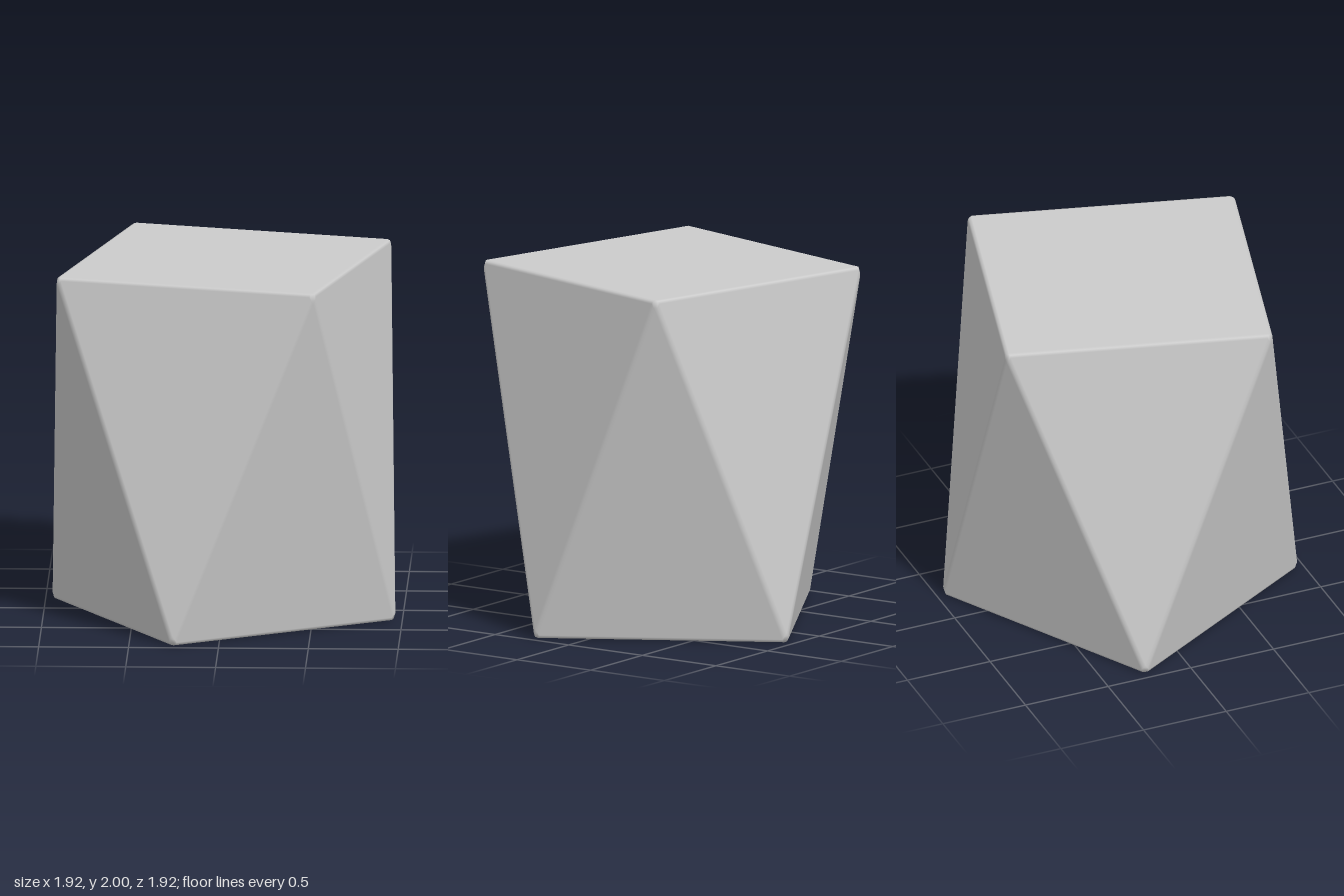
import * as THREE from 'three';
import { ConvexGeometry } from 'three/addons/geometries/ConvexGeometry.js';

const BEVEL = 0.02;
const CENTER = new THREE.Vector3(0, 1, 0);

// Four corners of a horizontal square, starting at the given angle
function square(radius, y, degrees) {
  return [0, 1, 2, 3].map((i) => {
    const a = THREE.MathUtils.degToRad(degrees + i * 90);
    return new THREE.Vector3(radius * Math.cos(a), y, radius * Math.sin(a));
  });
}

// Softened edges: each face shrinks by the bevel width and a curved strip joins neighbours
function bevelledHull(corners, faces) {
  const points = [], normals = [], joints = new Map();

  for (const face of faces) {
    const p = face.map((i) => corners[i]);
    const n = new THREE.Vector3().crossVectors(p[1].clone().sub(p[0]), p[2].clone().sub(p[0])).normalize();
    if (n.dot(p[0].clone().sub(CENTER)) < 0) n.negate();

    face.forEach((id, k) => {
      const ids = [face[(k + 1) % face.length], face[(k + face.length - 1) % face.length]];
      const dirs = ids.map((j) => corners[j].clone().sub(corners[id]).normalize());
      const inset = dirs[0].clone().add(dirs[1])
        .multiplyScalar(BEVEL / Math.sin(dirs[0].angleTo(dirs[1]))).add(corners[id]);
      points.push(inset);
      normals.push(n);
      // Remember this corner for both edges that leave it
      ids.forEach((j, s) => {
        const key = id + '>' + j;
        const along = inset.clone().sub(corners[id]).dot(dirs[s]);
        const onEdge = corners[id].clone().addScaledVector(dirs[s], along);
        if (!joints.has(key)) joints.set(key, []);
        joints.get(key).push({ inset, onEdge, n });
      });
    });
  }

  // Middle of the curved strip along each edge
  for (const [a, b] of joints.values()) {
    const mid = a.inset.clone().add(b.inset).add(a.onEdge).add(b.onEdge).multiplyScalar(0.25);
    points.push(mid);
    normals.push(a.n.clone().add(b.n).normalize());
  }

  // Smooth normals taken from the matching source point
  const geometry = new ConvexGeometry(points);
  const pos = geometry.attributes.position, v = new THREE.Vector3();
  for (let i = 0; i < pos.count; i++) {
    v.fromBufferAttribute(pos, i);
    let best = 0;
    points.forEach((q, j) => {
      if (q.distanceToSquared(v) < points[best].distanceToSquared(v)) best = j;
    });
    geometry.attributes.normal.setXYZ(i, normals[best].x, normals[best].y, normals[best].z);
  }
  return geometry;
}

export function createModel() {
  const group = new THREE.Group();
  group.name = 'twistedBlock';

  // Bottom square, and a slightly larger top square turned by 45 degrees
  const corners = [...square(1.0, 0, 15), ...square(1.06, 2, 60)];
  const faces = [[0, 1, 2, 3], [4, 5, 6, 7]];
  // Alternating upright and inverted triangles around the sides
  for (let i = 0; i < 4; i++) {
    const j = (i + 1) % 4;
    faces.push([i, j, 4 + i], [4 + i, 4 + j, j]);
  }

  const body = new THREE.Mesh(
    bevelledHull(corners, faces),
    new THREE.MeshStandardMaterial({ color: 0xcccccc })
  );
  body.name = 'antiprismBody';
  group.add(body);
  return group;
}
